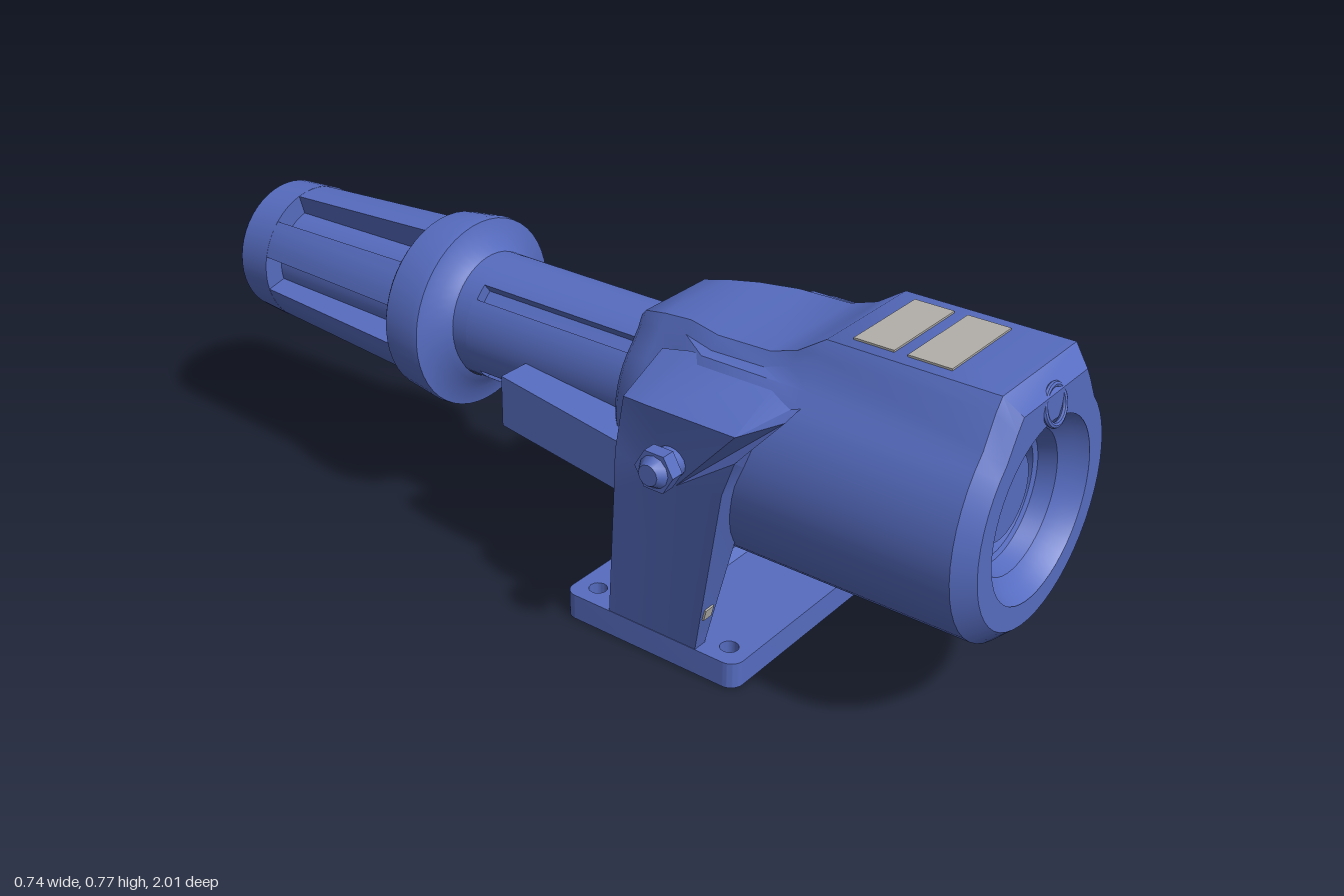
import * as THREE from 'three';
import { toCreasedNormals } from 'three/addons/utils/BufferGeometryUtils.js';

const AXIS = 0.488;
const blue = new THREE.MeshStandardMaterial({ color: 0x566cc0 });
blue.name = 'blue paint';
const grey = new THREE.MeshStandardMaterial({ color: 0xb2afaa });
grey.name = 'grey panel';

export function createModel() {
  const model = new THREE.Group();

  const add = (name, geo, mat = blue, crease = 0.6) => {
    const mesh = new THREE.Mesh(toCreasedNormals(geo, crease), mat);
    mesh.name = name;
    model.add(mesh);
    return mesh;
  };

  // Skin through matching loops of [x, y, z], with optional fan caps
  const loft = (loops, capStart = true, capEnd = true) => {
    const pos = [];
    const n = loops[0].length;
    const tri = (...p) => p.forEach((v) => pos.push(...v));
    for (let i = 0; i < loops.length - 1; i++) {
      for (let j = 0; j < n; j++) {
        const k = (j + 1) % n;
        const a = loops[i][j], b = loops[i][k], c = loops[i + 1][k], d = loops[i + 1][j];
        tri(a, b, c);
        tri(a, c, d);
      }
    }
    const cap = (loop, flip) => {
      const m = [0, 1, 2].map((q) => loop.reduce((s, p) => s + p[q], 0) / n);
      loop.forEach((p, j) => {
        const q = loop[(j + 1) % n];
        flip ? tri(m, q, p) : tri(m, p, q);
      });
    };
    if (capStart) cap(loops[0], true);
    if (capEnd) cap(loops[loops.length - 1], false);
    const g = new THREE.BufferGeometry();
    g.setAttribute('position', new THREE.Float32BufferAttribute(pos, 3));
    g.computeVertexNormals();
    return g;
  };
  const mirrorX = (loops) => loops.map((l) => l.map(([x, y, z]) => [-x, y, z])).reverse();

  // Profile of [radius, z], in rising z, turned about the main axis
  const turned = (pts, seg = 48) =>
    new THREE.LatheGeometry(pts.map(([r, z]) => new THREE.Vector2(r, z)), seg)
      .rotateX(Math.PI / 2).translate(0, AXIS, 0);

  // Housing: round below, trapezoid crown above
  const outline = (r, top) => {
    const pts = [];
    for (let i = 0; i <= 36; i++) {
      const a = Math.PI * (0.75 + 1.5 * i / 36);
      pts.push([r * Math.cos(a), AXIS + r * Math.sin(a)]);
    }
    const k = r / 0.27;
    pts.push([0.158 * k, top - 0.025], [0.138 * k, top], [-0.138 * k, top], [-0.158 * k, top - 0.025]);
    return pts;
  };
  const sections = [
    [0.15, 0.175, 0.665], [0.165, 0.19, 0.68], [0.22, 0.205, 0.692], [0.29, 0.225, 0.702],
    [0.37, 0.27, 0.702], [0.49, 0.27, 0.705], [0.55, 0.27, 0.725], [0.61, 0.27, 0.765],
    [0.965, 0.27, 0.765], [1, 0.235, 0.728],
  ];
  add('housing', loft(sections.map(([z, r, t]) => outline(r, t).map(([x, y]) => [x, y, z])), true, false));

  // Front face with its round recess
  const face = new THREE.Shape(outline(0.235, 0.728).map((p) => new THREE.Vector2(...p)));
  face.holes.push(new THREE.Path().absarc(0, AXIS, 0.185, 0, Math.PI * 2, true));
  add('frontFace', new THREE.ShapeGeometry(face, 24).translate(0, 0, 1));
  add('frontRecess', turned([
    [0.188, 1], [0.17, 0.975], [0.145, 0.955], [0.135, 0.92], [0.125, 0.915], [0.12, 0.88],
    [0.105, 0.88], [0.1, 0.915], [0.09, 0.925], [0, 0.925],
  ]));
  const port = add('frontPort', new THREE.TorusGeometry(0.037, 0.006, 8, 28));
  port.position.set(0, 0.704, 0.999);
  port.rotation.x = -0.25;

  // Grey panels on the crown
  for (const [z, d] of [[0.69, 0.085], [0.805, 0.09]]) {
    add('topPanel', new THREE.BoxGeometry(0.215, 0.006, d).translate(0, 0.766, z), grey);
  }

  // Fluted barrel
  const barrel = new THREE.Shape();
  const R = 0.139;
  for (let q = 0; q < 4; q++) {
    const a = Math.PI * (q / 2 + 0.25);
    const w = 0.13;
    barrel.absarc(0, 0, R, a - Math.PI / 2 + w, a - w, false);
    barrel.lineTo((R - 0.025) * Math.cos(a - w), (R - 0.025) * Math.sin(a - w));
    barrel.lineTo((R - 0.025) * Math.cos(a + w), (R - 0.025) * Math.sin(a + w));
  }
  add('barrel', new THREE.ExtrudeGeometry(barrel, { depth: 0.46, bevelEnabled: false, curveSegments: 10 })
    .translate(0, AXIS + 0.008, -0.29));
  add('barrelEnd', turned([[0, -0.4], [R, -0.4], [R, -0.28], [0, -0.28]]).translate(0, 0.008, 0));

  // Muzzle tip, inner core and collar
  add('muzzle', turned([
    [0, -0.955], [0.06, -0.955], [0.072, -0.935], [0.085, -0.935], [0.105, -0.985], [0.125, -1],
    [0.148, -1], [0.156, -0.99], [0.162, -0.9], [0.115, -0.9], [0.125, -0.475], [0.195, -0.475],
    [0.205, -0.465], [0.216, -0.38], [0.214, -0.365], [0.175, -0.355], [0.15, -0.335], [0.135, -0.325],
  ]));

  // Tapered ribs with open slots between them
  for (let i = 0; i < 6; i++) {
    const mid = Math.PI / 6 + i * Math.PI / 3;
    const ring = (r, z) => {
      const at = (rad, da) => [rad * Math.cos(mid + da), AXIS + rad * Math.sin(mid + da), z];
      return [at(0.09, -0.27), ...[-0.27, -0.13, 0, 0.13, 0.27].map((d) => at(r, d)), at(0.09, 0.27)];
    };
    add('muzzleRib', loft([ring(0.161, -0.91), ring(0.187, -0.47)]));
  }

  // Cradle legs: [z, y, inner x, outer x, outer y]
  const leg = [
    [0.41, 0.05, 0.213, 0.245, 0.05], [0.19, 0.05, 0.213, 0.245, 0.05],
    [0.235, 0.38, 0.2, 0.285, 0.38], [0.25, 0.48, 0.18, 0.3, 0.48],
    [0.27, 0.66, 0.18, 0.3, 0.605], [0.34, 0.675, 0.18, 0.317, 0.615],
    [0.54, 0.675, 0.18, 0.317, 0.615], [0.61, 0.66, 0.18, 0.262, 0.645],
    [0.54, 0.58, 0.19, 0.315, 0.56], [0.51, 0.48, 0.2, 0.31, 0.48],
  ];
  const legLoops = [
    leg.map(([z, y, xi]) => [xi, y, z]),
    leg.map(([z, , , xo, yo]) => [xo, yo, z]),
  ];
  add('leftLeg', loft(legLoops), blue, 0.4);
  add('rightLeg', loft(mirrorX(legLoops)), blue, 0.4);

  // Web between the legs, with a fillet at its foot
  const web = [[0.29, 0.05], [0.195, 0.05], [0.25, 0.45], [0.32, 0.45], [0.265, 0.075]];
  add('cradleWeb', loft([-0.225, 0.225].map((x) => web.map(([z, y]) => [x, y, z]))));

  // Grey patches on the front edges of the legs
  for (const [x, y, w, h] of [[0.238, 0.14, 0.034, 0.13], [-0.238, 0.152, 0.026, 0.026]]) {
    const patch = add('legPatch', new THREE.BoxGeometry(w, h, 0.006), grey);
    patch.position.set(x, y, 0.41 + (y - 0.05) * 0.233 + 0.001);
    patch.rotation.x = 0.229;
  }

  // Side arms beside the barrel
  const armRing = (z, y0, y1, xo) => [[0.1, y0, z], [xo, y0, z], [xo, y1, z], [0.1, y1, z]];
  const arm = [armRing(-0.12, 0.375, 0.49, 0.215), armRing(0.3, 0.335, 0.445, 0.24)];
  add('leftArm', loft(arm));
  add('rightArm', loft(arm.map((l) => l.map(([x, y, z]) => [-x, y, z]).reverse())));

  // Base plate with rounded corners and bolt holes
  const bx = 0.247, bz = 0.22, c = 0.03;
  const plate = new THREE.Shape();
  plate.absarc(bx - c, bz - c, c, 0, Math.PI / 2);
  plate.absarc(-bx + c, bz - c, c, Math.PI / 2, Math.PI);
  plate.absarc(-bx + c, -bz + c, c, Math.PI, Math.PI * 1.5);
  plate.absarc(bx - c, -bz + c, c, Math.PI * 1.5, Math.PI * 2);
  for (const x of [-0.195, 0.195]) {
    for (const y of [-0.17, 0.17]) {
      plate.holes.push(new THREE.Path().absarc(x, y, 0.02, 0, Math.PI * 2, true));
    }
  }
  add('basePlate', new THREE.ExtrudeGeometry(plate, { depth: 0.058, bevelEnabled: false, curveSegments: 8 })
    .rotateX(-Math.PI / 2).translate(0, 0, 0.29));

  // Pivot bolts: [end radius, start radius, start x, length, sides]
  for (const s of [-1, 1]) {
    for (const [r1, r0, x, len, n] of [[0.033, 0.033, 0.29, 0.04, 16], [0.045, 0.045, 0.324, 0.03, 6], [0.022, 0.034, 0.354, 0.018, 12]]) {
      add(s > 0 ? 'leftPivotBolt' : 'rightPivotBolt', new THREE.CylinderGeometry(r1, r0, len, n)
        .rotateZ(-s * Math.PI / 2).translate(s * (x + len / 2), 0.505, 0.385));
    }
  }
  return model;
}
